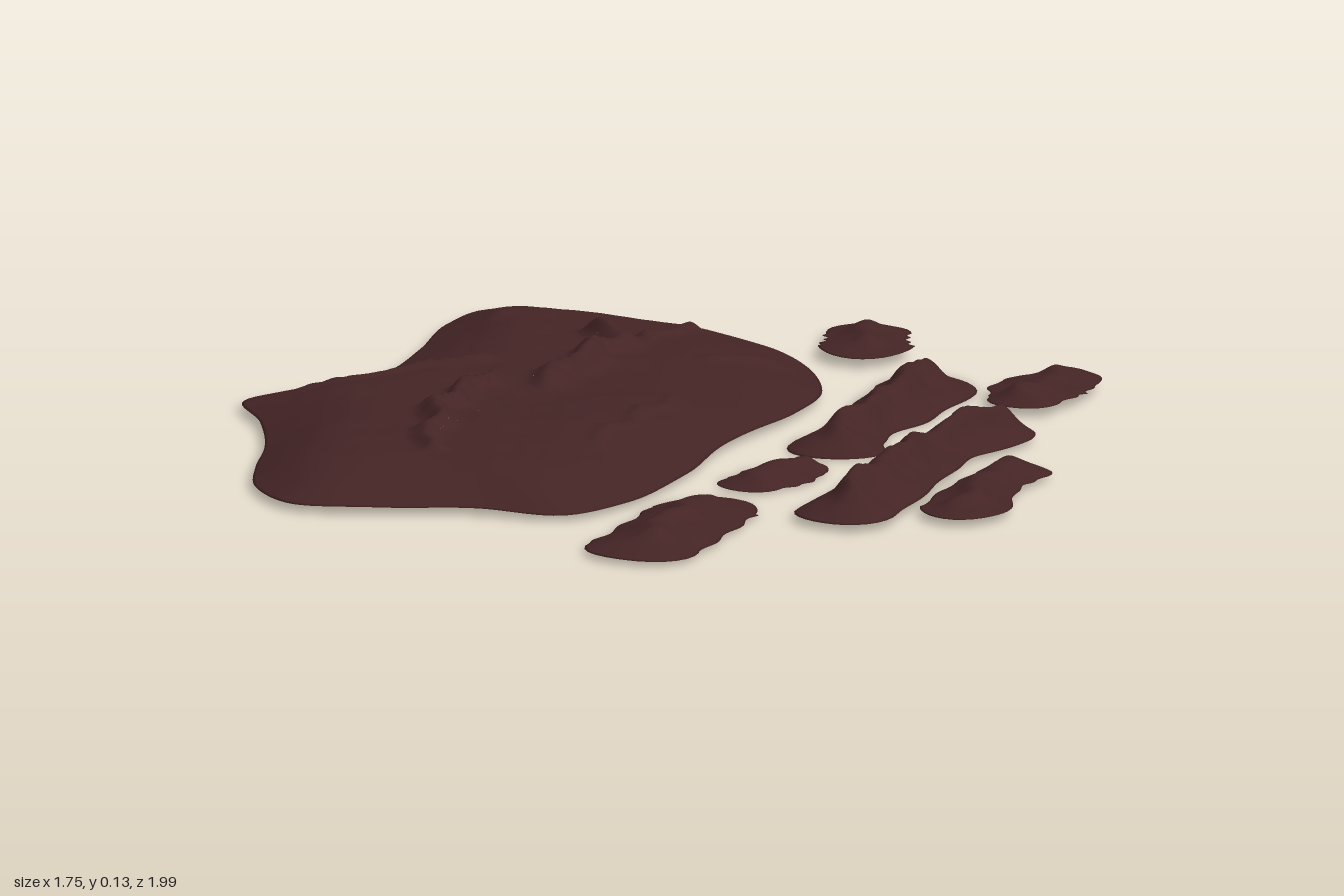
import * as THREE from 'three';

const mat = new THREE.MeshStandardMaterial({ color: 0x442425 });
mat.name = 'dark red brown';

// Smooth lumps from a few sine waves, about -1..1
const lumps = (x, z) =>
  (Math.sin(x * 9 + 2 * Math.sin(z * 5)) + Math.sin(z * 11 + 1.5 * Math.sin(x * 8 + 1)) +
    0.6 * Math.sin(x * 23 + z * 17) * Math.sin(z * 27 - x * 13)) / 2.6;

// Closest point and distance from (x, z) to a polyline
function nearest(line, x, z) {
  let best = { d: Infinity };
  for (let i = 0; i + 1 < line.length; i++) {
    const [ax, az] = line[i], dx = line[i + 1][0] - ax, dz = line[i + 1][1] - az;
    const t = THREE.MathUtils.clamp(((x - ax) * dx + (z - az) * dz) / (dx * dx + dz * dz), 0, 1);
    const px = ax + t * dx, pz = az + t * dz, d = Math.hypot(x - px, z - pz);
    if (d < best.d) best = { d, x: px, z: pz };
  }
  return best;
}

// Domed slab with a hollow underside: rings shrink from each rim point to its centre point
function slab(name, { rim, base, height, shoulder, rough, folds, rings }) {
  const segs = rim.length, pos = [], index = [];
  const addRing = (s, top) => rim.forEach(({ edge, centre }) => {
    const x = edge.x + (centre.x - edge.x) * s, z = edge.z + (centre.z - edge.z) * s;
    const dome = Math.sin(Math.min(1, s / shoulder) * Math.PI / 2);
    let rise = height + rough * (lumps(x, z) + 0.35 * lumps(x * 3.1 + 2, z * 3.1));
    const wx = x + 0.012 * Math.sin(z * 34) + 0.006 * Math.sin(z * 71), wz = z + 0.012 * Math.sin(x * 31);
    for (const { line, h, w } of folds) {
      rise += h * Math.exp(-((nearest(line, wx, wz).d / w) ** 2)) * (1 + 0.4 * lumps(x * 2, z * 2));
    }
    const y = base + 0.005 * lumps(x * 0.6 + 3, z * 0.6) + dome * (top ? rise : 0.6 * rise - 0.012);
    pos.push(x, Math.max(0, y), z);
  });
  for (let k = 0; k <= rings; k++) addRing(k / rings, true);
  for (let k = 1; k <= rings; k++) addRing(k / rings, false);
  const joinRings = (a, b, flip) => {
    for (let i = 0; i < segs; i++) {
      const j = (i + 1) % segs;
      const q = [a + i, b + i, a + j, a + j, b + i, b + j];
      index.push(...(flip ? q.reverse() : q));
    }
  };
  for (let k = 0; k < rings; k++) {
    joinRings(k * segs, (k + 1) * segs, false);
    joinRings(k === 0 ? 0 : (rings + k) * segs, (rings + k + 1) * segs, true);
  }
  const g = new THREE.BufferGeometry();
  g.setAttribute('position', new THREE.Float32BufferAttribute(pos, 3));
  g.setIndex(index);
  g.computeVertexNormals();
  const mesh = new THREE.Mesh(g, mat);
  mesh.name = name;
  return mesh;
}

// Uneven round-ended rim around a spine of [x, z, radius] stations, running front to back
function roundRim(spine) {
  const path = new THREE.CatmullRomCurve3(spine.map(([x, z, r]) => new THREE.Vector3(x, r, z)));
  const at = (t, angle) => {
    const centre = path.getPoint(t), d = path.getTangent(t).setY(0).normalize();
    const r = centre.y * (1.01 + 0.05 * Math.sin(t * 19 + angle * 3 + centre.x * 20));
    const c = Math.cos(angle) * r, s = Math.sin(angle) * r;
    return { edge: new THREE.Vector3(centre.x + d.z * c + d.x * s, 0, centre.z - d.x * c + d.z * s), centre };
  };
  const side = [], otherSide = [], cap = [], otherCap = [];
  for (let i = 0; i <= 36; i++) {
    side.push(at(i / 36, 0));
    otherSide.push(at(1 - i / 36, Math.PI));
  }
  for (let i = 1; i < 14; i++) {
    cap.push(at(1, i * Math.PI / 14));
    otherCap.push(at(0, Math.PI + i * Math.PI / 14));
  }
  return [...side, ...cap, ...otherSide, ...otherCap];
}

// Small patch: edge height, rise and crest along its spine
const smallPatch = (name, base, height, crest, ...spine) => slab(name, {
  rim: roundRim(spine), base, height, shoulder: 0.9, rough: 0.008,
  folds: [{ line: spine, h: crest, w: 0.032 }], rings: 18,
});

// Large patch: closed outline shrinking onto a straight spine
function mainRim() {
  const outline = [[-0.69, -0.85], [-0.6, -0.88], [-0.39, -0.86], [-0.15, -0.81], [-0.01, -0.72], [0.11, -0.58],
    [0.185, -0.42], [0.19, -0.24], [0.15, 0.03], [0.16, 0.27], [0.13, 0.54], [0.05, 0.69], [-0.13, 0.71],
    [-0.31, 0.77], [-0.49, 0.8], [-0.61, 0.69], [-0.67, 0.53], [-0.71, 0.37], [-0.79, 0.18], [-0.88, 0.03],
    [-0.79, -0.13], [-0.7, -0.3], [-0.7, -0.5], [-0.72, -0.71]];
  const curve = new THREE.CatmullRomCurve3(outline.map(([x, z]) => new THREE.Vector3(x, 0, z)), true, 'centripetal');
  return curve.getSpacedPoints(260).slice(0, 260)
    .map((edge) => ({ edge, centre: nearest([[-0.3, -0.45], [-0.33, 0.4]], edge.x, edge.z) }));
}

export function createModel() {
  const group = new THREE.Group();
  group.name = 'crustPatches';

  // Large patch with creased folds
  group.add(slab('mainPatch', {
    rim: mainRim(), base: 0.03, height: 0.063, shoulder: 0.6, rough: 0.006, rings: 60,
    folds: [
      { line: [[-0.3, -0.48], [-0.24, -0.42], [-0.28, -0.1]], h: 0.035, w: 0.032 },
      { line: [[-0.39, -0.07], [-0.4, 0.2], [-0.32, 0.5]], h: 0.03, w: 0.025 },
      { line: [[-0.47, -0.24], [-0.75, 0.02]], h: 0.013, w: 0.018 },
      { line: [[-0.18, -0.62], [-0.2, -0.5]], h: 0.02, w: 0.022 },
      { line: [[0.08, -0.51], [-0.06, -0.41]], h: 0.013, w: 0.018 },
      { line: [[-0.01, -0.1], [-0.03, 0.3]], h: 0.01, w: 0.018 },
      { line: [[-0.63, -0.7], [-0.58, -0.6]], h: 0.012, w: 0.03 },
    ],
  }));

  // Small patches along the left side
  group.add(
    smallPatch('backPatch', 0.032, 0.014, 0.012, [0.1, -0.915, 0.085], [0.12, -0.86, 0.082], [0.135, -0.81, 0.096]),
    smallPatch('innerLongPatch', 0.016, 0.03, 0.03,
      [0.345, -0.585, 0.105], [0.353, -0.35, 0.09], [0.345, -0.18, 0.07], [0.35, -0.07, 0.1]),
    smallPatch('outerBackPatch', 0.035, 0.02, 0.015, [0.605, -0.68, 0.08], [0.585, -0.6, 0.1], [0.59, -0.51, 0.075]),
    smallPatch('outerLongPatch', 0.03, 0.035, 0.033,
      [0.63, -0.24, 0.077], [0.567, -0.05, 0.085], [0.572, 0.2, 0.093], [0.577, 0.48, 0.104]),
    smallPatch('farPatch', 0.026, 0.014, 0.014, [0.77, 0.04, 0.07], [0.757, 0.15, 0.068], [0.782, 0.37, 0.09]),
    smallPatch('tinyPatch', 0.02, 0.018, 0.014, [0.35, 0.135, 0.055], [0.325, 0.21, 0.078], [0.3, 0.28, 0.07]),
    smallPatch('frontPatch', 0.024, 0.024, 0.018, [0.29, 0.535, 0.11], [0.29, 0.88, 0.115]),
  );
  return group;
}
